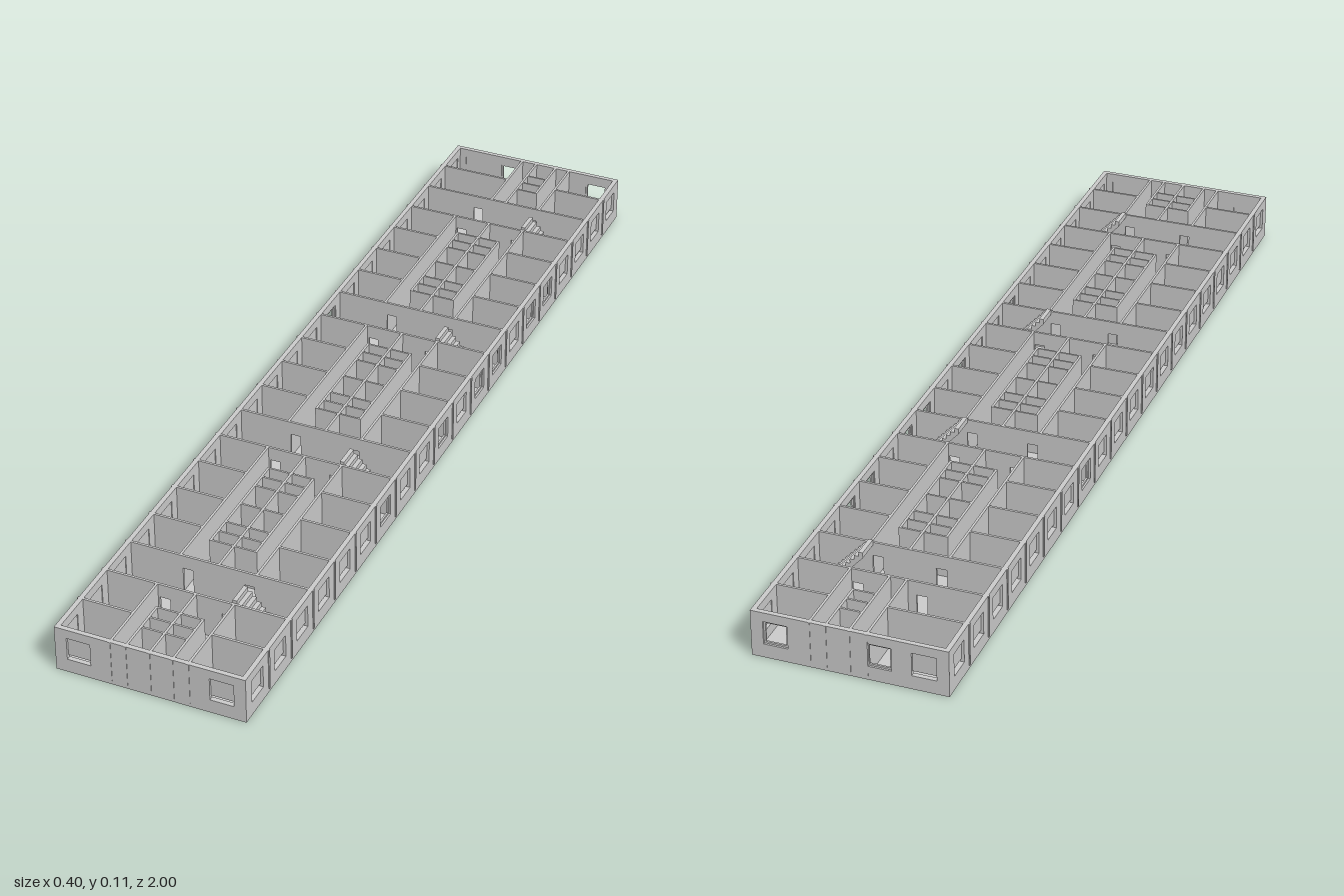
import * as THREE from 'three';

const H = 0.1, FLOOR = 0.008, T = 0.01, THIN = 0.005;
const mat = new THREE.MeshStandardMaterial({ color: 0xcccccc, flatShading: true });

function add(parent, geometry, name) {
  const mesh = new THREE.Mesh(geometry, mat);
  mesh.name = name;
  parent.add(mesh);
  return mesh;
}

function box(parent, name, w, h, d, x, y, z) {
  add(parent, new THREE.BoxGeometry(w, h, d), name).position.set(x, y, z);
}

// Wall segments standing on the floor, along x or along z
const wallX = (p, name, x0, x1, z, t = THIN) =>
  box(p, name, x1 - x0, H - FLOOR, t, (x0 + x1) / 2, (H + FLOOR) / 2, z);
const wallZ = (p, name, z0, z1, x, t = THIN) =>
  box(p, name, t, H - FLOOR, z1 - z0, x, (H + FLOOR) / 2, (z0 + z1) / 2);

// Upright panel in the xy plane with rectangular holes [x, y0, y1, width]
function panel(length, y0, holes, depth) {
  const a = length / 2;
  const shape = new THREE.Shape([[-a, y0], [a, y0], [a, H], [-a, H]].map(p => new THREE.Vector2(...p)));
  for (const [x, b, t, w] of holes) {
    const l = x - w / 2, r = x + w / 2;
    shape.holes.push(new THREE.Path([[l, b], [l, t], [r, t], [r, b]].map(p => new THREE.Vector2(...p))));
  }
  return new THREE.ExtrudeGeometry(shape, { depth, bevelEnabled: false }).translate(0, 0, -depth);
}

// Outer wall whose outside face is local z = 0; closed windows get a sash with a slot under it
function facade(name, length, windows) {
  const g = new THREE.Group();
  g.name = name;
  add(g, panel(length, 0, windows.map(w => [w.x, 0.03, 0.08, 0.05]), T), 'outerWall');
  for (const { x, open } of windows) {
    if (open) {
      for (const s of [-1, 1]) {
        box(g, 'windowJamb', 0.004, 0.05, 0.004, x + s * 0.023, 0.055, -0.006);
        box(g, 'windowRail', 0.042, 0.004, 0.004, x, 0.055 + s * 0.023, -0.006);
      }
    } else {
      box(g, 'windowSash', 0.05, 0.043, 0.003, x, 0.0585, -0.007);
    }
  }
  return g;
}

// Flight of steps rising toward -x with a sloping underside
function stairGeometry() {
  const n = 10, x0 = 0.168, x1 = 0.076, rise = (0.106 - FLOOR) / n, run = (x0 - x1) / n;
  const s = new THREE.Shape();
  s.moveTo(x0, FLOOR);
  for (let i = 0; i < n; i++) {
    s.lineTo(x0 - i * run, FLOOR + (i + 1) * rise);
    s.lineTo(x0 - (i + 1) * run, FLOOR + (i + 1) * rise);
  }
  s.lineTo(x1, 0.094);
  s.lineTo(x0 - run * 1.5, FLOOR);
  s.closePath();
  return new THREE.ExtrudeGeometry(s, { depth: 0.05, bevelEnabled: false });
}

export function createModel() {
  const model = new THREE.Group();
  model.name = 'buildingStorey';

  box(model, 'floorSlab', 0.4, FLOOR, 2, 0, FLOOR / 2, 0);

  // Outer walls with a window in every bay
  const bays = Array.from({ length: 20 }, (_, i) => -0.95 + i * 0.1);
  const openRight = [0.35, 0.05, -0.15, -0.25, -0.45, -0.55];
  const isOpen = (list, z) => list.some(v => Math.abs(v - z) < 0.01);
  const east = facade('sideFacadeLeft', 2, bays.map(z => ({ x: -z, open: isOpen(openRight, z) })));
  east.rotation.y = Math.PI / 2;
  east.position.x = 0.2;
  const west = facade('sideFacadeRight', 2, bays.map(z => ({ x: z, open: isOpen([-0.25], z) })));
  west.rotation.y = -Math.PI / 2;
  west.position.x = -0.2;
  const front = facade('frontFacade', 0.4, [{ x: -0.15 }, { x: 0.15 }]);
  front.position.z = 1;
  const back = facade('backFacade', 0.4, [{ x: -0.15, open: true }, { x: 0.06, open: true }, { x: 0.15 }]);
  back.rotation.y = Math.PI;
  back.position.z = -1;
  model.add(east, west, front, back);

  // Cross walls every bay: full width with doorways beside stair halls, else room partitions
  const partitions = new THREE.Group();
  partitions.name = 'partitions';
  model.add(partitions);
  const hallEdges = [-8, -7, -3, -2, 2, 3, 7, 8];
  for (let i = -9; i <= 9; i++) {
    const z = i / 10;
    if (hallEdges.includes(i)) {
      const doors = [-1, 1].map(s => [s * 0.066, FLOOR + 0.001, 0.07, 0.022]);
      add(partitions, panel(0.404, FLOOR, doors, THIN), 'hallWall').position.z = z + THIN / 2;
    } else {
      wallX(partitions, 'roomWall', -0.202, i === -9 ? -0.035 : -0.083, z);
      wallX(partitions, 'roomWall', 0.08, 0.202, z);
    }
  }

  // Corridor walls and the spine between stair halls
  for (const [z0, z1] of [[-1.001, -0.8], [-0.7, -0.3], [-0.2, 0.2], [0.3, 0.7], [0.8, 1.001]]) {
    wallZ(partitions, 'corridorWall', z0, z1, z0 < -0.9 ? -0.035 : -0.083);
    wallZ(partitions, 'corridorWall', z0, z1, 0.081);
    wallZ(partitions, 'spineWall', z0, z1, 0);
  }

  // Service cores: two rows of small cells along the spine
  const cores = new THREE.Group();
  cores.name = 'serviceCores';
  model.add(cores);
  for (const c of [-1, -0.5, 0, 0.5, 1]) {
    const z0 = Math.max(c - 0.135, -1.001), z1 = Math.min(c + 0.135, 1.001);
    const left = c === -1 ? 0 : -0.05;
    if (left) wallZ(cores, 'coreWall', z0, z1, left);
    wallZ(cores, 'coreWall', z0, z1, 0.048);
    for (const o of [-0.133, -0.1, -0.067, 0, 0.067, 0.1, 0.133]) {
      if (Math.abs(c + o) < 0.98) wallX(cores, 'cellWall', left, 0.048, c + o, 0.004);
    }
  }

  // One flight of stairs in each hall
  const steps = stairGeometry();
  for (const z of [-0.75, -0.25, 0.25, 0.75]) add(model, steps, 'stairFlight').position.z = z - 0.003;

  return model;
}
